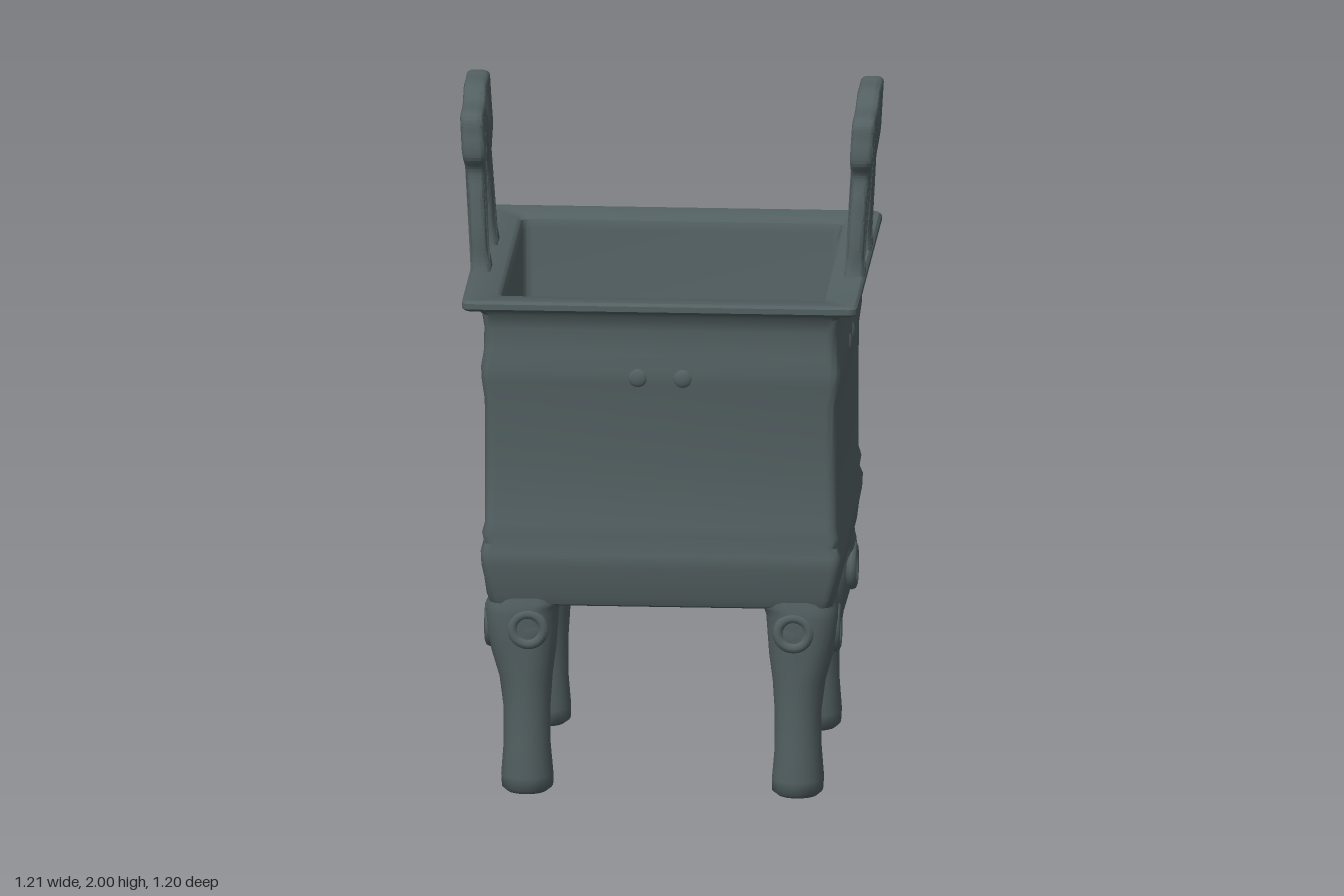
import * as THREE from 'three';
import { toCreasedNormals } from 'three/addons/utils/BufferGeometryUtils.js';

const bronze = new THREE.MeshStandardMaterial({ color: 0x536062 });
bronze.name = 'dark bronze';
const MID_Z = 0.03; // the vessel sits slightly forward of the origin

function add(group, name, geometry) {
  const mesh = new THREE.Mesh(geometry, bronze);
  mesh.name = name;
  group.add(mesh);
  return mesh;
}

// Skin through rounded-rectangle sections: [x0, x1, z0, z1, y, cornerRadius]
function loft(sections, perCorner = 6, crease = 0.7) {
  const pos = [], index = [], n = perCorner * 4;
  for (const [x0, x1, z0, z1, y, radius] of sections) {
    const r = Math.min(radius, (x1 - x0) / 2, (z1 - z0) / 2);
    for (let c = 0; c < 4; c++) {
      const cx = c === 0 || c === 3 ? x1 - r : x0 + r;
      const cz = c < 2 ? z1 - r : z0 + r;
      for (let k = 0; k < perCorner; k++) {
        const a = (c + k / (perCorner - 1)) * Math.PI / 2;
        pos.push(cx + r * Math.cos(a), y, cz + r * Math.sin(a));
      }
    }
  }
  for (let i = 0; i < sections.length - 1; i++) {
    for (let j = 0; j < n; j++) {
      const a = i * n + j, b = i * n + (j + 1) % n;
      index.push(a, a + n, b, b, a + n, b + n);
    }
  }
  const g = new THREE.BufferGeometry();
  g.setAttribute('position', new THREE.Float32BufferAttribute(pos, 3));
  g.setIndex(index);
  return toCreasedNormals(g, crease);
}

// Box: underside, banded walls, flared rim, hollow inside and floor
function buildVessel(group) {
  const rows = [ // half width, y, corner radius
    [0.002, 0.565, 0.001], [0.47, 0.565, 0.03], [0.497, 0.575, 0.035], [0.506, 0.6, 0.035],
    [0.512, 0.65, 0.03], [0.52, 0.69, 0.03], [0.522, 0.73, 0.03], [0.513, 0.755, 0.03],
    [0.518, 0.785, 0.03], [0.51, 0.815, 0.03], [0.51, 1.0, 0.03], [0.511, 1.18, 0.03],
    [0.519, 1.24, 0.03], [0.521, 1.28, 0.03], [0.513, 1.33, 0.03], [0.512, 1.4, 0.03],
    [0.518, 1.44, 0.03], [0.535, 1.458, 0.03], [0.565, 1.462, 0.025], [0.573, 1.47, 0.025],
    [0.573, 1.486, 0.025], [0.566, 1.494, 0.025], [0.478, 1.488, 0.025], [0.466, 1.478, 0.025],
    [0.46, 1.45, 0.025], [0.452, 0.7, 0.03], [0.435, 0.67, 0.04], [0.002, 0.665, 0.001],
  ];
  add(group, 'vessel', loft(rows.map(([h, y, r]) =>
    [-h, h, MID_Z - h, MID_Z + h, y, r])));
}

// Leg with a swollen shoulder and slightly flared foot
function buildLeg(sx, sz) {
  const leg = new THREE.Group();
  leg.name = (sz > 0 ? 'front' : 'back') + (sx > 0 ? 'Left' : 'Right') + 'Leg';
  const rows = [ // y, inner x, outer x, inner z, outer z
    [0, 0.39, 0.4, 0.39, 0.4], [0.002, 0.335, 0.45, 0.325, 0.47], [0.015, 0.318, 0.465, 0.308, 0.485],
    [0.05, 0.318, 0.467, 0.306, 0.487], [0.14, 0.326, 0.46, 0.314, 0.483], [0.25, 0.326, 0.46, 0.312, 0.482],
    [0.34, 0.32, 0.472, 0.3, 0.485], [0.42, 0.31, 0.495, 0.285, 0.49], [0.48, 0.306, 0.506, 0.28, 0.494],
    [0.54, 0.302, 0.51, 0.275, 0.498], [0.562, 0.295, 0.508, 0.268, 0.498], [0.575, 0.28, 0.505, 0.255, 0.495],
    [0.62, 0.28, 0.5, 0.255, 0.49],
  ];
  const span = (s, mid, a, b) => s > 0 ? [mid + a, mid + b] : [mid - b, mid - a];
  add(leg, 'shank', loft(rows.map(([y, xi, xo, zi, zo]) =>
    [...span(sx, 0, xi, xo), ...span(sz, 0.04, zi, zo), y, 0.075]), 7, 1));

  // Round eye bosses on the two outer faces
  const boss = (name, x, y, z, turn, r) => {
    const eye = new THREE.Group();
    eye.name = name;
    add(eye, 'ring', new THREE.TorusGeometry(r, 0.016, 8, 24));
    add(eye, 'pupil', new THREE.SphereGeometry(r * 0.85, 16, 10)).scale.z = 0.2;
    eye.position.set(x, y, z);
    eye.rotation.y = turn;
    leg.add(eye);
  };
  boss('sideEye', sx * 0.5, 0.49, 0.04 + sz * 0.365, Math.PI / 2, 0.056);
  boss('faceEye', sx * 0.385, 0.5, 0.04 + sz * 0.488, 0, 0.045);
  return leg;
}

// Upright arched handle with a stepped, thicker head; leans outward
function buildHandle(side) {
  const v = (list) => list.map(([z, y]) => new THREE.Vector2(z, y));
  const shape = new THREE.Shape();
  shape.moveTo(0.25, 1.47);
  shape.splineThru(v([[0.238, 1.52], [0.236, 1.6], [0.225, 1.7], [0.213, 1.78], [0.24, 1.83],
    [0.237, 1.89], [0.215, 1.955], [0.1, 1.965], [0.02, 1.997], [-0.06, 2], [-0.138, 1.995],
    [-0.145, 1.92], [-0.152, 1.84], [-0.136, 1.78], [-0.15, 1.7], [-0.163, 1.6], [-0.17, 1.52], [-0.185, 1.47]]));
  shape.lineTo(-0.06, 1.47);
  shape.splineThru(v([[-0.068, 1.52], [-0.062, 1.62], [-0.035, 1.73], [0.002, 1.783], [0.037, 1.795],
    [0.075, 1.783], [0.11, 1.73], [0.135, 1.62], [0.145, 1.52], [0.137, 1.47]]));
  shape.closePath();
  const g = new THREE.ExtrudeGeometry(shape, {
    depth: 0.018, bevelThickness: 0.014, bevelSize: 0.014, bevelOffset: -0.014, bevelSegments: 4, curveSegments: 48,
  });
  g.translate(0, 0, -0.009);
  g.rotateY(-Math.PI / 2);
  const p = g.attributes.position;
  for (let i = 0; i < p.count; i++) {
    const y = p.getY(i);
    const thick = 1 + 0.45 * THREE.MathUtils.smoothstep(y, 1.72, 1.86)
      + 0.3 * (1 - THREE.MathUtils.smoothstep(y, 1.48, 1.56));
    p.setX(i, p.getX(i) * thick + side * (0.54 + 0.06 * (y - 1.47)));
  }
  g.deleteAttribute('normal');
  g.deleteAttribute('uv');
  return toCreasedNormals(g, 0.9);
}

// Small lug under the back of the rim
function buildLug(group) {
  const s = new THREE.Shape();
  s.moveTo(0.45, 1.37);
  s.lineTo(0.488, 1.375);
  s.quadraticCurveTo(0.5, 1.415, 0.545, 1.422);
  s.lineTo(0.595, 1.422);
  s.quadraticCurveTo(0.607, 1.44, 0.595, 1.456);
  s.lineTo(0.545, 1.475);
  s.lineTo(0.45, 1.475);
  s.closePath();
  const g = new THREE.ExtrudeGeometry(s, {
    depth: 0.19, bevelThickness: 0.012, bevelSize: 0.01, bevelOffset: -0.01, bevelSegments: 3,
  });
  g.translate(0, 0, -0.095);
  g.rotateY(Math.PI / 2);
  add(group, 'backLug', toCreasedNormals(g, 0.7));
}

export function createModel() {
  const model = new THREE.Group();
  model.name = 'squareCauldron';
  buildVessel(model);
  for (const sx of [1, -1]) {
    for (const sz of [1, -1]) model.add(buildLeg(sx, sz));
    add(model, sx > 0 ? 'leftHandle' : 'rightHandle', buildHandle(sx));
  }
  buildLug(model);

  // Pair of low studs on the upper band of each wall
  for (let i = 0; i < 4; i++) {
    const wall = new THREE.Group();
    wall.name = 'wallStuds';
    wall.position.z = MID_Z;
    wall.rotation.y = i * Math.PI / 2;
    for (const x of [-0.065, 0.065]) {
      const stud = add(wall, 'stud', new THREE.SphereGeometry(0.028, 14, 10));
      stud.position.set(x, 1.26, 0.517);
      stud.scale.z = 0.4;
    }
    model.add(wall);
  }
  return model;
}
